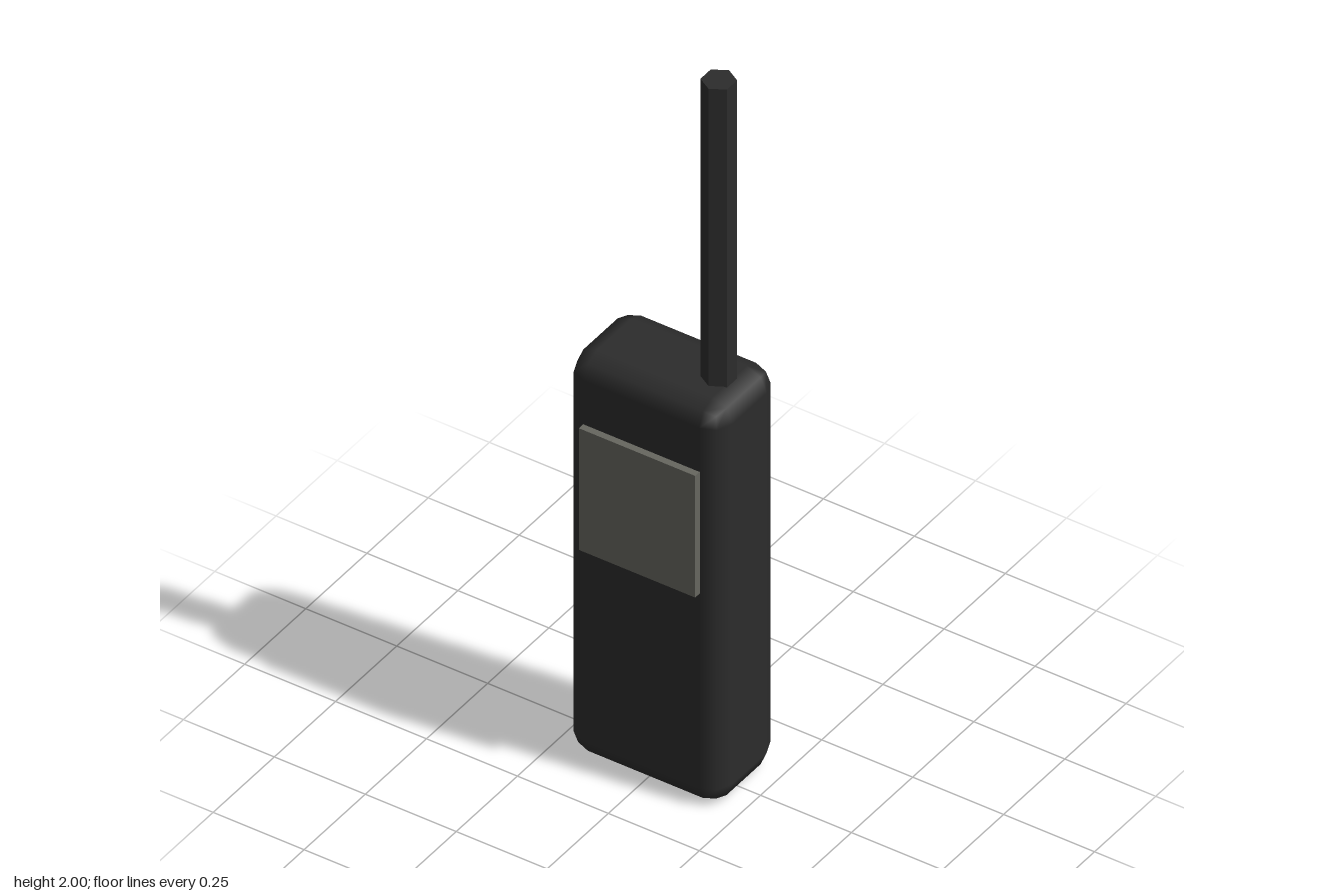
import * as THREE from 'three';
import { RoundedBoxGeometry } from 'three/addons/geometries/RoundedBoxGeometry.js';

export function createModel() {
  const model = new THREE.Group();
  model.name = 'handheldRadio';

  const add = (name, geometry, color, position, flatShading = false) => {
    const material = new THREE.MeshStandardMaterial({ color, flatShading });
    const mesh = new THREE.Mesh(geometry, material);
    mesh.name = name;
    mesh.position.set(...position);
    model.add(mesh);
  };

  // Case: tall box with one coarse bevel step on each side of its edges
  const height = 1.145;
  add('body', new RoundedBoxGeometry(0.426, height, 0.25, 1, 0.055), 0x2c2c2c, [0, height / 2, -0.01]);

  // Screen: thin slab standing slightly proud of the front
  add('screen', new THREE.BoxGeometry(0.32, 0.35, 0.036), 0x66665f, [0, 0.79, 0.115]);

  // Antenna: six-sided rod rising from the top, slightly sunk into the case
  const base = height - 0.02;
  add('antenna', new THREE.CylinderGeometry(0.042, 0.042, 2 - base, 6), 0x2c2c2c,
    [0.128, (2 + base) / 2, -0.011], true);

  return model;
}
